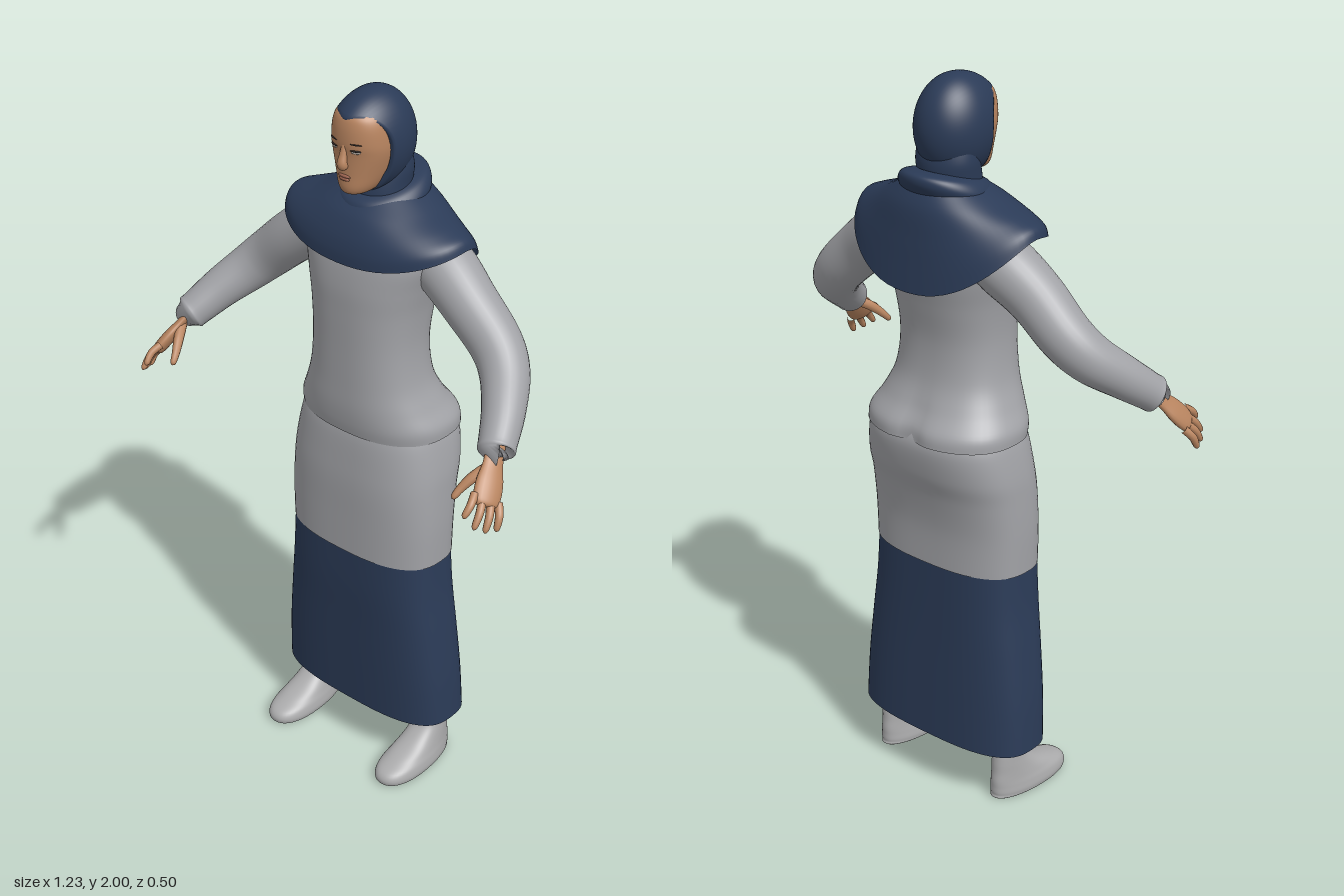
import * as THREE from 'three';

const mat = (name, color, side = THREE.FrontSide) => {
  const m = new THREE.MeshStandardMaterial({ color, side });
  m.name = name;
  return m;
};

// Smooth interpolation through rows of numbers, u from 0 to 1
function spline(rows, u) {
  const n = rows.length - 1, f = Math.min(u * n, n - 1e-6), i = Math.floor(f), t = f - i;
  const at = k => rows[Math.max(0, Math.min(n, k))];
  const [p, a, b, q] = [at(i - 1), at(i), at(i + 1), at(i + 2)];
  return a.map((v, k) => {
    const m0 = (b[k] - p[k]) / 2, m1 = (q[k] - v) / 2;
    return (2 * t ** 3 - 3 * t * t + 1) * v + (t ** 3 - 2 * t * t + t) * m0
      + (3 * t * t - 2 * t ** 3) * b[k] + (t ** 3 - t * t) * m1;
  });
}

// Closed rings stacked along u; point(u, angle) returns [x, y, z]
function loft(point, nu, na) {
  const pos = [], index = [];
  for (let i = 0; i <= nu; i++)
    for (let j = 0; j < na; j++) pos.push(...point(i / nu, j / na * Math.PI * 2));
  for (let i = 0; i < nu; i++)
    for (let j = 0; j < na; j++) {
      const k = (j + 1) % na, a = i * na + j, b = i * na + k, c = a + na, d = b + na;
      index.push(a, b, c, b, d, c);
    }
  const g = new THREE.BufferGeometry();
  g.setAttribute('position', new THREE.Float32BufferAttribute(pos, 3));
  g.setIndex(index);
  g.computeVertexNormals();
  return g;
}

const power = (v, n) => Math.sign(v) * Math.abs(v) ** (2 / n);

// Upright body from rows [y, half width, front z, back z], bottom to top
function body(rows, n = 2.3, tweak = p => p) {
  return loft((u, a) => {
    const [y, w, f, b] = spline(rows, u);
    return tweak([w * power(Math.sin(a), n), y, (f + b) / 2 + (f - b) / 2 * power(Math.cos(a), n)], a);
  }, rows.length * 5, 56);
}

// Tapered tube through rows [x, y, z, radius], optionally flattened across ref
function tube(rows, flat = 1, ref = new THREE.Vector3(0, 0, 1), sides = 20) {
  return loft((u, a) => {
    const [x, y, z, r] = spline(rows, u);
    const p = spline(rows, Math.max(0, u - 0.02)), q = spline(rows, Math.min(1, u + 0.02));
    const T = new THREE.Vector3(q[0] - p[0], q[1] - p[1], q[2] - p[2]).normalize();
    const N = ref.clone().addScaledVector(T, -ref.dot(T)).normalize();
    const B = T.clone().cross(N);
    return N.multiplyScalar(r * Math.cos(a)).addScaledVector(B, r * flat * Math.sin(a))
      .add(new THREE.Vector3(x, y, z)).toArray();
  }, rows.length * 5, sides);
}

export function createModel() {
  const model = new THREE.Group();
  const navy = mat('navy cloth', 0x2b3b57, THREE.DoubleSide);
  const gray = mat('gray cloth', 0xa2a3a7, THREE.DoubleSide);
  const shoeGray = mat('shoe gray', 0xacacad, THREE.DoubleSide);
  const skin = mat('skin', 0xb98560);
  const lips = mat('lips', 0x9c6450);
  const dark = mat('lashes', 0x2b2422);
  const white = mat('eye white', 0xb9b2aa);
  const add = (name, geometry, material, parent = model) => {
    const m = new THREE.Mesh(geometry, material);
    m.name = name;
    parent.add(m);
    return m;
  };

  // Clothes: long skirt, tunic skirt and fitted top
  add('longSkirt', body([[0.16, 0.285, 0.056, -0.195], [0.3, 0.278, 0.062, -0.19], [0.45, 0.262, 0.068, -0.185],
    [0.58, 0.246, 0.074, -0.182], [0.72, 0.236, 0.075, -0.18]], 2.9), navy);
  add('tunicSkirt', body([[0.69, 0.244, 0.08, -0.187], [0.8, 0.246, 0.08, -0.19], [0.9, 0.243, 0.08, -0.207],
    [0.97, 0.238, 0.076, -0.228], [1.05, 0.223, 0.068, -0.238], [1.1, 0.205, 0.055, -0.22]], 2.6), gray);
  const cleft = p => {
    // Soft hollow down the middle of the lower back
    if (p[2] < -0.1) p[2] += 0.02 * Math.exp(-((p[0] / 0.035) ** 2)) * Math.exp(-(((p[1] - 1.08) / 0.08) ** 2));
    return p;
  };
  add('top', body([[1.065, 0.225, 0.07, -0.25], [1.1, 0.222, 0.076, -0.244], [1.15, 0.195, 0.08, -0.208],
    [1.22, 0.168, 0.08, -0.178], [1.32, 0.157, 0.08, -0.17], [1.42, 0.163, 0.081, -0.185],
    [1.5, 0.178, 0.08, -0.2], [1.58, 0.195, 0.068, -0.2], [1.64, 0.175, 0.045, -0.185],
    [1.69, 0.1, 0, -0.16]], 2.4, cleft), gray);

  // Cape: rows [half width, front z, back z, side y, front y, back y] from hem to neck
  const cape = [[0.284, 0.088, -0.245, 1.635, 1.57, 1.475], [0.272, 0.085, -0.237, 1.658, 1.605, 1.54],
    [0.235, 0.073, -0.228, 1.674, 1.645, 1.61], [0.17, 0.048, -0.215, 1.697, 1.688, 1.69],
    [0.105, 0.012, -0.185, 1.73, 1.72, 1.745]];
  add('cape', loft((u, a) => {
    const [w, f, b, ys, yf, yb] = spline(cape, u), c = Math.cos(a);
    const y = ys + ((c > 0 ? yf : yb) - ys) * Math.abs(c) ** 1.6;
    return [w * power(Math.sin(a), 2.2), y, (f + b) / 2 + (f - b) / 2 * power(c, 2.2)];
  }, 24, 64), navy);

  // Scarf fold around the neck, higher at the back
  const fold = p => [p[0], p[1] - (p[2] + 0.08) * 0.25, p[2]];
  add('scarfFold', body([[1.685, 0.12, 0.03, -0.195], [1.715, 0.122, 0.035, -0.212], [1.74, 0.105, 0.025, -0.205],
    [1.75, 0.08, 0, -0.16]], 2, fold), navy);
  add('scarfNeck', body([[1.67, 0.09, 0.005, -0.16], [1.74, 0.086, 0.0, -0.155], [1.79, 0.088, -0.015, -0.155],
    [1.84, 0.08, -0.03, -0.14]], 2), navy);

  // Hood: rings from the back pole to the face opening, with a turned-in rim
  const rad = Math.PI / 180;
  add('hood', loft((u, a) => {
    const c = Math.cos(a), edge = (76 + (c > 0 ? -36 : -6) * Math.abs(c) ** 2.2) * rad;
    const rim = u > 0.95 ? 1 - (u - 0.95) * 2.6 : 1;
    const th = Math.PI + (edge - Math.PI) * Math.min(1, u / 0.95);
    const r = Math.sin(th) * rim, z = Math.cos(th);
    return [-0.098 * r * Math.sin(a), 1.865 + 0.135 * r * c, -0.055 + z * (z > 0 ? 0.145 : 0.115)];
  }, 40, 56).scale(-1, 1, 1), navy).geometry.setIndex(
    // Restore outward corner order after the flip
    (g => { const s = []; for (let i = 0; i < g.length; i += 3) s.push(g[i], g[i + 2], g[i + 1]); return s; })
    (Array.from(model.children[model.children.length - 1].geometry.index.array)));
  model.children[model.children.length - 1].geometry.computeVertexNormals();

  // Face
  const head = new THREE.Group();
  head.name = 'head';
  model.add(head);
  add('face', body([[1.743, 0.012, 0.035, -0.01], [1.748, 0.034, 0.051, -0.04], [1.765, 0.05, 0.058, -0.07],
    [1.8, 0.066, 0.058, -0.1], [1.85, 0.079, 0.059, -0.1], [1.885, 0.081, 0.063, -0.1],
    [1.93, 0.076, 0.06, -0.1], [1.957, 0.062, 0.048, -0.1], [1.978, 0.03, 0.01, -0.08]], 2.1), skin, head);
  add('nose', tube([[0, 1.883, 0.056, 0.006], [0, 1.855, 0.062, 0.009], [0, 1.832, 0.066, 0.0125],
    [0, 1.822, 0.06, 0.011], [0, 1.817, 0.056, 0.002]], 1.1), skin, head);
  const blob = (name, m, x, y, z, sx, sy, sz, ry = 0) => {
    const b = add(name, new THREE.SphereGeometry(1, 16, 10), m, head);
    b.position.set(x, y, z);
    b.scale.set(sx, sy, sz);
    b.rotation.y = ry;
  };
  blob('upperLip', lips, 0, 1.797, 0.058, 0.02, 0.0045, 0.0049);
  blob('lowerLip', lips, 0, 1.789, 0.058, 0.017, 0.005, 0.0049);
  for (const s of [-1, 1]) {
    blob('eye', white, s * 0.034, 1.867, 0.0535, 0.0125, 0.004, 0.0045, s * 0.35);
    blob('lash', dark, s * 0.034, 1.871, 0.0545, 0.015, 0.0025, 0.0045, s * 0.35);
    blob('brow', dark, s * 0.035, 1.888, 0.055, 0.016, 0.0018, 0.004, s * 0.35);
  }

  // Sleeves, hands and shoes on both sides
  for (const s of [-1, 1]) {
    const side = s > 0 ? 'left' : 'right';
    const mirror = rows => rows.map(([x, ...rest]) => [s * x, ...rest]);
    add(side + 'Sleeve', tube(mirror([[0.14, 1.575, -0.1, 0.07], [0.2, 1.553, -0.098, 0.08], [0.29, 1.49, -0.085, 0.074],
      [0.38, 1.41, -0.08, 0.069], [0.435, 1.355, -0.05, 0.064], [0.485, 1.3, 0.015, 0.056],
      [0.52, 1.25, 0.08, 0.049], [0.529, 1.238, 0.097, 0.047], [0.53, 1.237, 0.098, 0.028]]), 1, undefined, 28), gray);

    const hand = new THREE.Group();
    hand.name = side + 'Hand';
    model.add(hand);
    const across = new THREE.Vector3(s * 0.55, -0.5, -0.65).normalize();
    add('palm', tube(mirror([[0.52, 1.25, 0.085, 0.026], [0.538, 1.215, 0.12, 0.028], [0.552, 1.185, 0.148, 0.037],
      [0.564, 1.158, 0.173, 0.038], [0.571, 1.143, 0.187, 0.03], [0.573, 1.139, 0.19, 0.002]]), 0.45, across), skin, hand);
    const tips = [[0.552, 1.128, 0.25], [0.577, 1.1, 0.24], [0.594, 1.086, 0.217], [0.605, 1.08, 0.186]];
    tips.forEach(([x, y, z], i) => {
      const k = (i - 1.5) * 0.017, b = [0.565 + k * 0.75, 1.155 - k * 0.68, 0.175 - k * 0.9];
      const mix = t => [b[0] + (x - b[0]) * t + 0.006 * Math.sin(t * 3.14),
        b[1] + (y - b[1]) * t + 0.006 * Math.sin(t * 3.14), b[2] + (z - b[2]) * t];
      add('finger', tube(mirror([[...mix(0), 0.011], [...mix(0.5), 0.0105], [...mix(0.9), 0.008],
        [...mix(1), 0.001]]), 1, across, 10), skin, hand);
    });
    add('thumb', tube(mirror([[0.535, 1.212, 0.125, 0.015], [0.512, 1.188, 0.162, 0.014], [0.496, 1.162, 0.19, 0.011],
      [0.489, 1.143, 0.208, 0.008], [0.487, 1.138, 0.213, 0.001]]), 1, across, 10), skin, hand);

    // Shoe widens toward the toe and is cut off at the ankle
    const shoe = add(side + 'Shoe', body([[0, 0.003, 0.02, 0.01], [0, 0.05, 0.125, -0.122], [0.012, 0.06, 0.145, -0.134],
      [0.035, 0.058, 0.135, -0.135], [0.055, 0.052, 0.09, -0.135], [0.08, 0.046, 0.03, -0.132],
      [0.11, 0.041, -0.015, -0.13], [0.14, 0.037, -0.04, -0.125], [0.135, 0.028, -0.05, -0.115],
      [0.11, 0.002, -0.08, -0.085]], 2.2, (p, a) => [p[0] * (1 + 0.14 * Math.cos(a)), Math.max(0, p[1]), p[2]]), shoeGray);
    shoe.position.x = s * 0.206;
  }
  return model;
}
